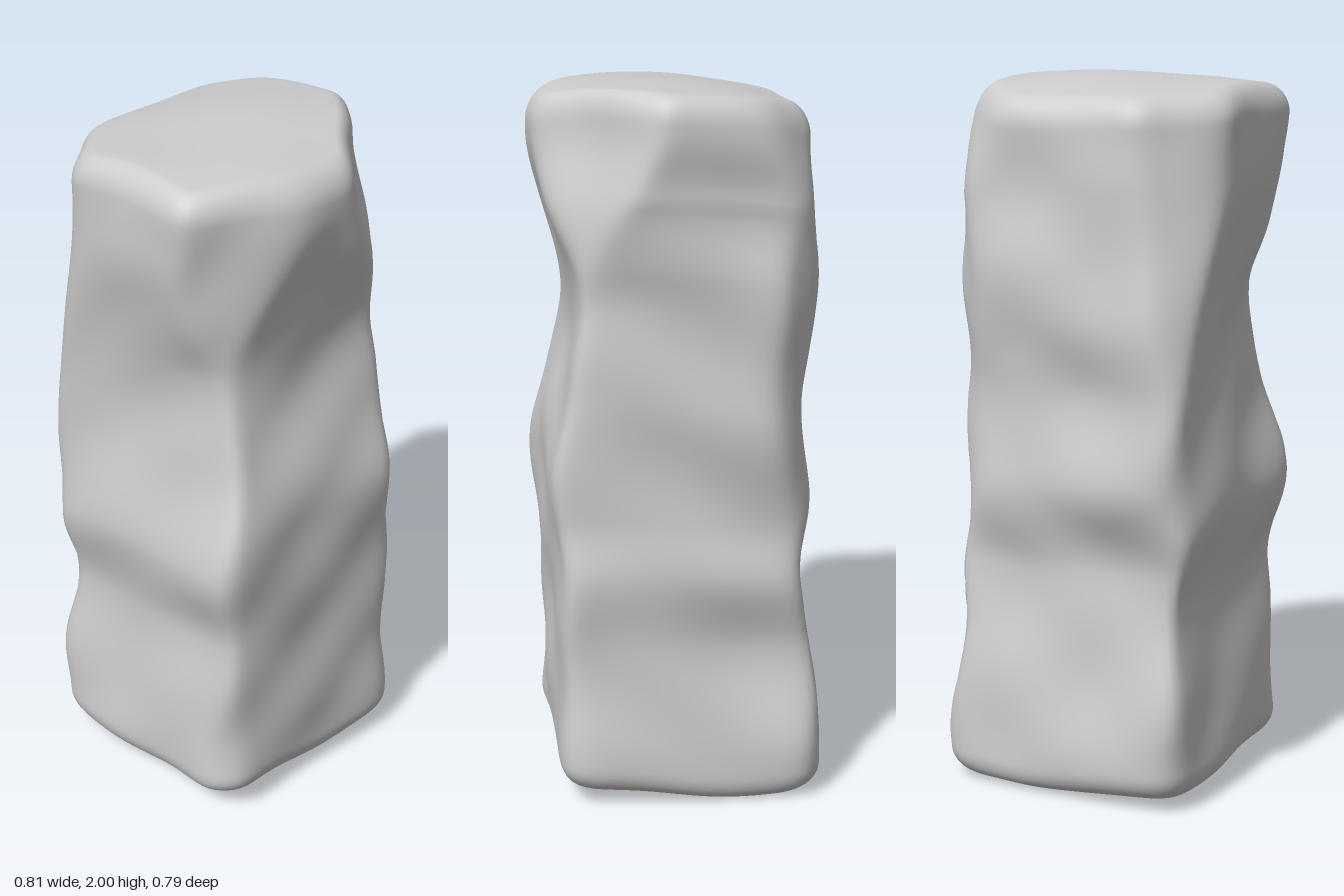
import * as THREE from 'three';

// Smooth interpolation through [height, value] pairs
function profile(pairs) {
  return (y) => {
    const n = pairs.length;
    if (y <= pairs[0][0]) return pairs[0][1];
    if (y >= pairs[n - 1][0]) return pairs[n - 1][1];
    let i = 0;
    while (pairs[i + 1][0] < y) i++;
    const [y0, a] = pairs[i];
    const [y1, b] = pairs[i + 1];
    const t = (y - y0) / (y1 - y0);
    return a + (b - a) * t * t * (3 - 2 * t);
  };
}

// One hewn side: greatest distance from the axis and turn, both by height.
// reach is the half width over which a turned side still touches its distance.
const side = (reach, distances, turns = [[0, 0]]) =>
  ({ reach, distance: profile(distances), turn: profile(turns) });

// Four broad faces
const left = side(0.25,
  [[0.1, 0.4], [0.45, 0.338], [0.65, 0.365], [0.8, 0.347], [1.15, 0.382], [1.5, 0.383], [1.7, 0.362], [1.9, 0.403]],
  [[0.1, 0.07], [0.5, 0.02], [1.4, 0.2], [1.95, -0.12]]);
const front = side(0.25,
  [[0.1, 0.352], [0.5, 0.347], [0.92, 0.366], [1.38, 0.284], [1.9, 0.392]]);
const right = side(0.25,
  [[0.1, 0.365], [0.55, 0.325], [0.82, 0.37], [1.12, 0.342], [1.75, 0.403]],
  [[0.8, 0], [1.4, -0.17], [1.8, 0]]);
const back = side(0.25,
  [[0.1, 0.39], [0.65, 0.326], [0.93, 0.39], [1.18, 0.362], [1.4, 0.383], [1.75, 0.35]],
  [[0.5, 0], [1.1, 0.08], [1.6, 0]]);

// Four worn corners
const frontLeft = side(0, [[0.1, 0.472], [0.9, 0.49], [1.42, 0.41], [2, 0.325]]);
const frontRight = side(0, [[0.1, 0.455], [0.93, 0.5], [1.45, 0.39], [1.9, 0.402]],
  [[1.45, 0], [1.9, -0.3]]);
const backRight = side(0, [[0.9, 0.5], [2, 0.405]]);
const backLeft = side(0, [[0.1, 0.515], [1.15, 0.435], [1.7, 0.455], [2, 0.4]]);

// In order of angle, from +x towards +z
const planes = [left, frontLeft, front, frontRight, right, backRight, back, backLeft];

// Radius of the softened eight-sided section in one direction
function radius(angle, y) {
  let sum = 0;
  planes.forEach(({ reach, distance, turn }, k) => {
    const a = turn(y);
    const facing = Math.cos(angle - k * Math.PI / 4 - a);
    if (facing > 0) sum += Math.pow(facing / (distance(y) - reach * Math.abs(Math.sin(a))), 26);
  });
  return Math.pow(sum, -1 / 26);
}

// Worn lumps and hollows
function lumps(x, y, z) {
  return 0.006 * Math.sin(9 * x + 11 * y + 4 * z) * Math.cos(8 * z - 5 * y + 1)
    + 0.004 * Math.sin(13 * x - 15 * y + 11 * z + 2)
    + 0.003 * Math.sin(17 * x + 6 * y - 14 * z);
}

const topY = (x, z) => 1.987 + 0.03 * x - 0.1 * x * x - 0.35 * z * z + 0.055 * z
  + 0.004 * Math.cos(12 * x - 1) * Math.cos(9 * z);
const bottomY = (x, z) => 0.028 - 0.04 * x + 0.045 * z
  + 0.012 * Math.sin(11 * x + 1) * Math.cos(9 * z + 1);

// Vertical outline: [width scale, height fraction] from base centre to top centre
function outline() {
  const rows = [];
  const edge = 0.15;
  const rise = 0.04;
  for (let i = 0; i <= 10; i++) rows.push([0.001 + (1 - edge) * i / 10, 0]);
  for (let i = 1; i <= 8; i++) {
    const a = i / 8 * Math.PI / 2;
    rows.push([1 - edge + edge * Math.sin(a), rise * (1 - Math.cos(a))]);
  }
  for (let i = 1; i < 90; i++) rows.push([1, rise + (1 - 2 * rise) * i / 90]);
  return rows.concat(rows.slice(0, 19).reverse().map(([s, t]) => [s, 1 - t]));
}

function stoneGeometry() {
  const segments = 144;
  const rows = outline();
  const positions = [];
  const indices = [];
  rows.forEach(([scale, t], i) => {
    for (let j = 0; j < segments; j++) {
      const angle = j / segments * Math.PI * 2;
      const c = Math.cos(angle);
      const s = Math.sin(angle);
      const height = t * 2;
      let r = radius(angle, height);
      r = (r + lumps(r * c, height, r * s)) * scale;
      const x = r * c;
      const z = r * s;
      const low = bottomY(x, z);
      positions.push(x, low + t * (topY(x, z) - low), z);
      if (i < rows.length - 1) {
        const a = i * segments + j;
        const b = i * segments + (j + 1) % segments;
        indices.push(a, a + segments, b, b, a + segments, b + segments);
      }
    }
  });
  const geometry = new THREE.BufferGeometry();
  geometry.setAttribute('position', new THREE.Float32BufferAttribute(positions, 3));
  geometry.setIndex(indices);

  // Stand on the ground, centred
  geometry.computeBoundingBox();
  const box = geometry.boundingBox;
  const middle = box.getCenter(new THREE.Vector3());
  geometry.translate(-middle.x, -box.min.y, -middle.z);
  geometry.computeVertexNormals();
  return geometry;
}

export function createModel() {
  const group = new THREE.Group();
  group.name = 'stonePillar';
  const stone = new THREE.Mesh(stoneGeometry(), new THREE.MeshStandardMaterial({ color: 0xcccccc }));
  stone.name = 'standingStone';
  group.add(stone);
  return group;
}
